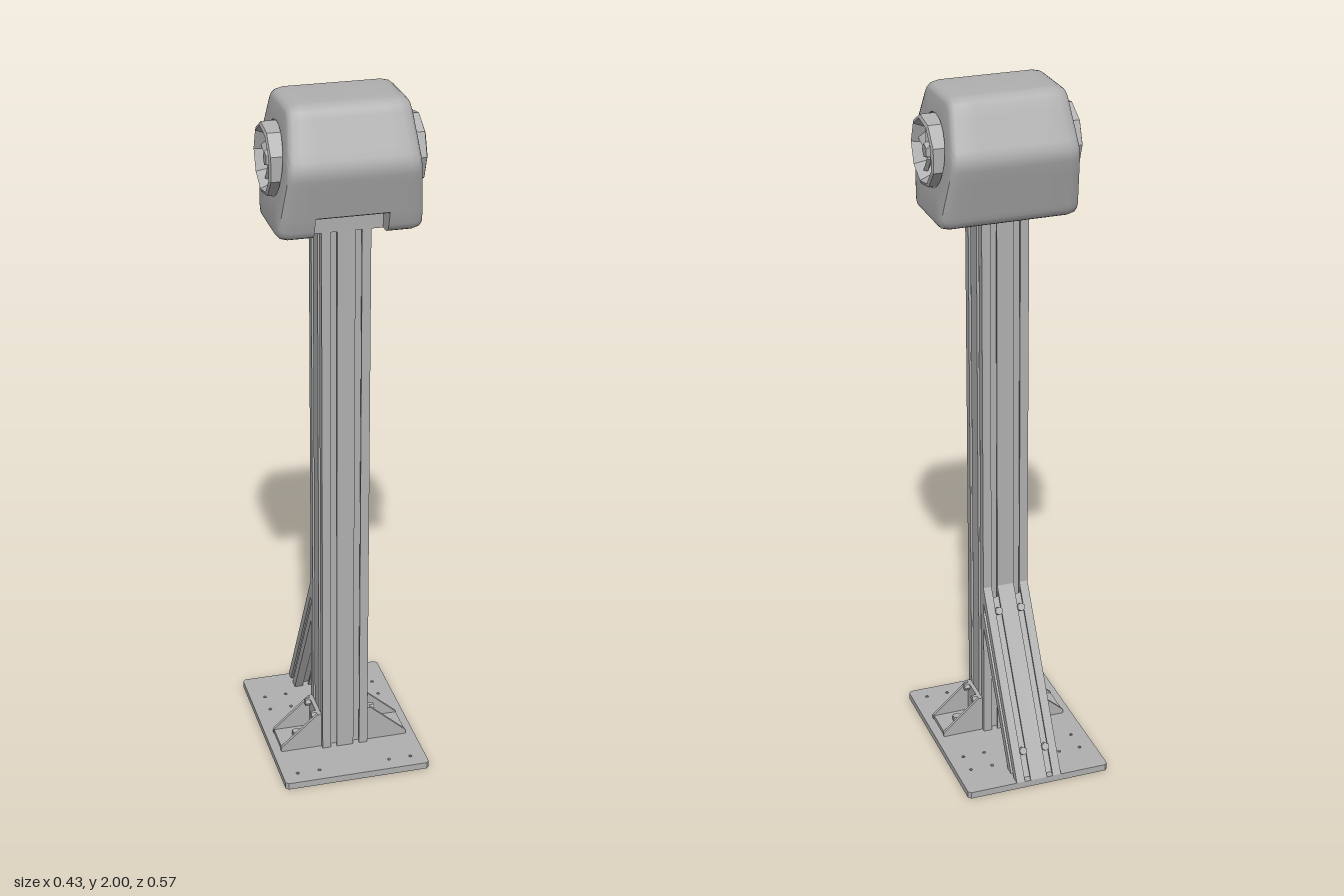
import * as THREE from 'three';
import { toCreasedNormals } from 'three/addons/utils/BufferGeometryUtils.js';

const MOD = 0.068; // one module of the slotted framing profile
const HALF_PI = Math.PI / 2;

// Closed outline of a slotted profile, nx by ny modules, centred on the origin
function profileShape(nx, ny) {
  const slot = [[-0.009, 0], [-0.009, 0.006], [-0.014, 0.006], [-0.014, 0.018],
    [0.014, 0.018], [0.014, 0.006], [0.009, 0.006], [0.009, 0]];
  const pts = [];
  for (let side = 0; side < 4; side++) {
    const n = side % 2 ? ny : nx, m = side % 2 ? nx : ny;
    const rot = side * HALF_PI, c = Math.cos(rot), s = Math.sin(rot);
    const add = (along, depth) => {
      const x = along, y = -m * MOD / 2 + depth;
      pts.push(new THREE.Vector2(x * c - y * s, x * s + y * c));
    };
    add(-n * MOD / 2, 0);
    for (let i = 0; i < n; i++) {
      const mid = (i - (n - 1) / 2) * MOD;
      slot.forEach(([a, d]) => add(mid + a, d));
    }
  }
  return new THREE.Shape(pts);
}

function extrude(shape, depth) {
  return new THREE.ExtrudeGeometry(shape, { depth, bevelEnabled: false, curveSegments: 4 });
}

// Floor plate with bolt holes
function basePlate() {
  const w = 0.215, d = 0.285, r = 0.008;
  const s = new THREE.Shape();
  s.moveTo(-w + r, -d).lineTo(w - r, -d).lineTo(w, -d + r).lineTo(w, d - r);
  s.lineTo(w - r, d).lineTo(-w + r, d).lineTo(-w, d - r).lineTo(-w, -d + r);
  for (const x of [-0.17, -0.105, 0.105, 0.17]) {
    for (const y of [-0.24, 0.105, 0.175]) {
      const hole = new THREE.Path();
      hole.absarc(x, y, 0.005, 0, Math.PI * 2, true);
      s.holes.push(hole);
    }
  }
  return extrude(s, 0.02).rotateX(-HALF_PI);
}

// Sloping strut, its ends mitred to the plate and to the post
function braceGeometry() {
  const g = extrude(profileShape(2, 1), 1), p = g.attributes.position;
  for (let i = 0; i < p.count; i++) {
    const inset = (MOD / 2 - p.getY(i)) / Math.cos(Math.PI / 6);
    const run = 0.285 - inset, t = p.getZ(i);
    p.setXYZ(i, p.getX(i), 0.02 + t * run * Math.tan(Math.PI / 3), -run * (1 - t));
  }
  g.computeVertexNormals();
  return g;
}

// Rounded hexagon outline of the head as [z, y] points
function headOutline() {
  const hex = [[-0.03, 2], [0.17, 2], [0.243, 1.845], [0.183, 1.64], [-0.038, 1.64], [-0.103, 1.845]]
    .map(([z, y]) => new THREE.Vector2(z, y));
  const pts = [];
  hex.forEach((c, i) => {
    const prev = hex[(i + 5) % 6], next = hex[(i + 1) % 6];
    const toward = (q) => c.clone().add(q.clone().sub(c).setLength(0.028));
    const a = toward(prev), b = toward(next);
    pts.push(...new THREE.QuadraticBezierCurve(a, c, b).getPoints(4));
    if (i === 3) [0.139, 0.137, 0.05].forEach((z) => pts.push(new THREE.Vector2(z, 1.64)));
    else [0.2, 0.45, 0.68].forEach((t) => pts.push(c.clone().lerp(next, t)));
  });
  return pts;
}

// Head housing: lofted along x, flaring downward, with side recesses and a front notch
function headGeometry() {
  const outline = headOutline(), n = outline.length;
  const cz = 0.07, cy = 1.835;
  const halfWidth = (y) => 0.164 + (2 - y) * 0.1;
  const endRing = (side, inset, scale) => outline.map((p) => {
    const z = cz + (p.x - cz) * scale, y = cy + (p.y - cy) * scale;
    return [side * (halfWidth(y) - inset), y, z];
  });
  const circle = (side, inset, r) => outline.map((p) => {
    const a = Math.atan2(p.y - cy, p.x - cz), y = cy + r * Math.sin(a);
    return [side * (halfWidth(y) - inset), y, cz + r * Math.cos(a)];
  });
  const midRing = (x, notch) => outline.map((p) =>
    [x, notch && p.x > 0.138 ? Math.max(p.y, 1.7) : p.y, p.x]);
  const ends = (side) => [circle(side, 0.07, 0.001), circle(side, 0.07, 0.1), circle(side, 0, 0.1),
    endRing(side, 0, 0.87), endRing(side, 0.003, 0.93), endRing(side, 0.012, 0.975), endRing(side, 0.032, 1)];
  const rings = [...ends(-1), midRing(-0.1, false), midRing(-0.1, true),
    midRing(0.1, true), midRing(0.1, false), ...ends(1).reverse()];
  const index = [];
  for (let i = 0; i < rings.length - 1; i++) {
    for (let j = 0; j < n; j++) {
      const k = (j + 1) % n, a = i * n + j, b = i * n + k;
      index.push(a, b, b + n, a, b + n, a + n);
    }
  }
  const g = new THREE.BufferGeometry();
  g.setAttribute('position', new THREE.Float32BufferAttribute(rings.flat(2), 3));
  g.setIndex(index);
  return toCreasedNormals(g, 0.6);
}

export function createModel() {
  const root = new THREE.Group();
  const metal = new THREE.MeshStandardMaterial({ color: 0xb0b0b0 });
  metal.name = 'grey metal';

  const add = (parent, name, geometry, x = 0, y = 0, z = 0) => {
    const flat = geometry.index ? geometry.toNonIndexed() : geometry;
    if (geometry.index) flat.computeVertexNormals();
    const mesh = new THREE.Mesh(flat, metal);
    mesh.name = name;
    mesh.position.set(x, y, z);
    parent.add(mesh);
    return mesh;
  };

  add(root, 'basePlate', basePlate());
  add(root, 'post', extrude(profileShape(2, 2), 1.7).rotateX(-HALF_PI), 0, 0.02, MOD);
  add(root, 'brace', braceGeometry());
  add(root, 'head', headGeometry());

  // Screws in the slots of the strut
  for (const x of [-MOD / 2, MOD / 2]) {
    for (const [y, z] of [[0.095, -0.24], [0.45, -0.035]]) {
      const screw = add(root, 'braceScrew', new THREE.CylinderGeometry(0.012, 0.012, 0.016, 6), x, y, z);
      screw.rotation.x = -Math.PI / 3;
    }
  }

  for (const turn of [0, Math.PI]) {
    // Corner bracket between post and plate
    const bracket = new THREE.Group();
    bracket.name = 'cornerBracket';
    bracket.position.set(0, 0.02, MOD);
    bracket.rotation.y = turn;
    root.add(bracket);
    const tri = new THREE.Shape();
    tri.moveTo(0.068, 0).lineTo(0.19, 0).lineTo(0.19, 0.012).lineTo(0.08, 0.11).lineTo(0.068, 0.11);
    for (const z of [-0.055, 0.045]) add(bracket, 'bracketWeb', extrude(tri, 0.01), 0, 0, z);
    add(bracket, 'bracketFoot', new THREE.BoxGeometry(0.12, 0.012, 0.1), 0.128, 0.006, 0);
    add(bracket, 'bracketBack', new THREE.BoxGeometry(0.012, 0.11, 0.1), 0.074, 0.055, 0);
    for (const z of [-0.035, 0.035]) {
      const bolt = add(bracket, 'bracketBolt', new THREE.CylinderGeometry(0.011, 0.011, 0.02, 6), 0.085, 0.1, z);
      bolt.rotation.z = HALF_PI;
    }
    add(bracket, 'footBolt', new THREE.CylinderGeometry(0.014, 0.014, 0.02, 6), 0.13, 0.018, 0);

    // Faceted rotor set in the side recess
    const rotor = new THREE.Group();
    rotor.name = 'sideRotor';
    rotor.position.set(0, 1.835, 0.07);
    rotor.rotation.y = turn;
    root.add(rotor);
    const rim = [[0.098, 0.12], [0.098, 0.208], [0.088, 0.212], [0.066, 0.165], [0.001, 0.15]]
      .map(([r, h]) => new THREE.Vector2(r, h));
    add(rotor, 'rotorRim', new THREE.LatheGeometry(rim, 9).rotateZ(-HALF_PI));
    add(rotor, 'rotorHub', new THREE.CylinderGeometry(0.02, 0.035, 0.05, 5).rotateZ(-HALF_PI), 0.178);
    for (let i = 0; i < 5; i++) {
      const blade = new THREE.BoxGeometry(0.012, 0.06, 0.036).rotateY(0.6).translate(0.18, 0.05, 0);
      add(rotor, 'rotorBlade', blade.rotateX(i * Math.PI * 0.4));
    }
  }
  return root;
}
